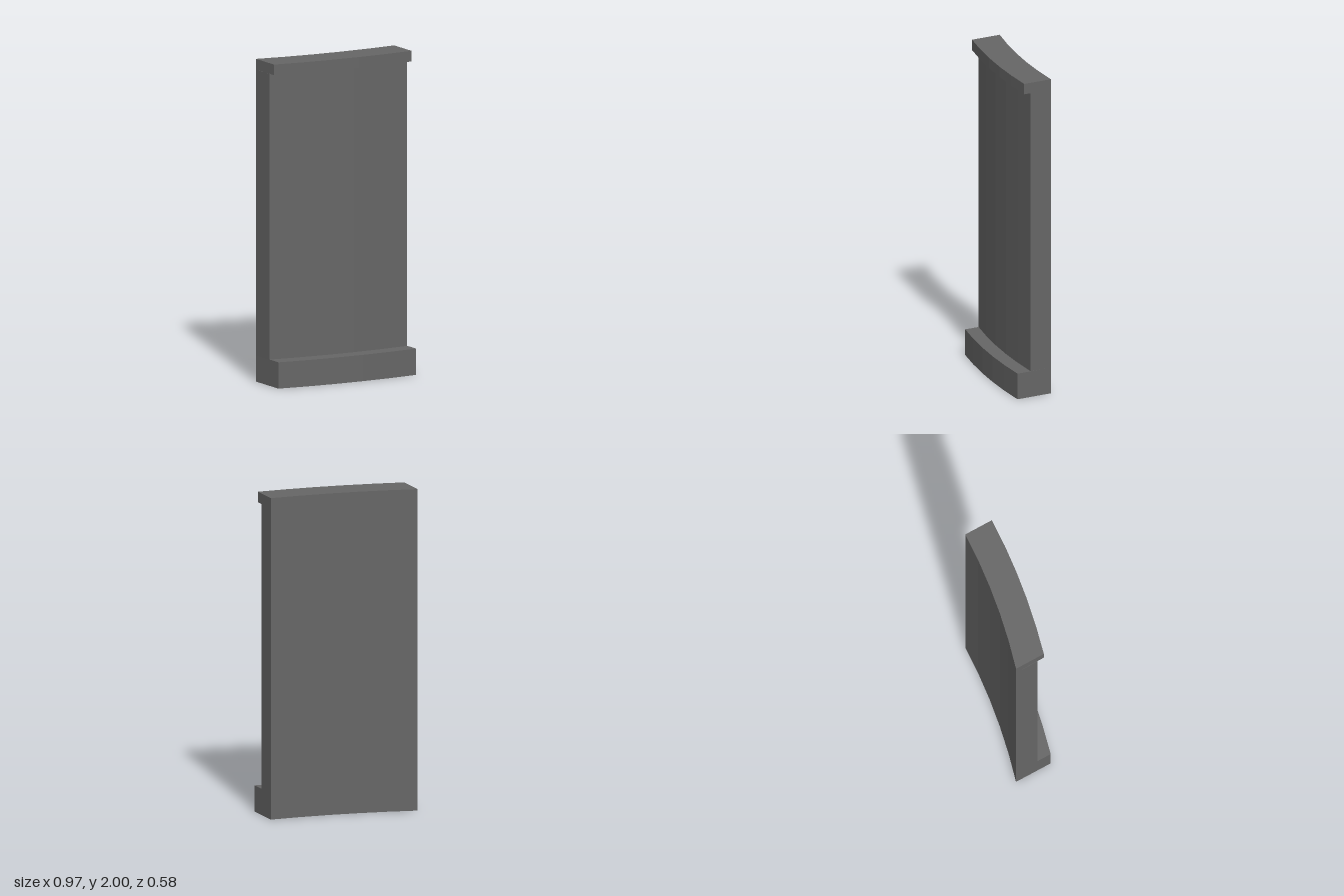
import * as THREE from 'three';

const SEGMENTS = 5;

// Shallow arc in plan, from a to b ([x, z]), bulging toward the front by sag
function arc(a, b, sag) {
  const dx = b[0] - a[0], dz = b[1] - a[1], len = Math.hypot(dx, dz);
  const points = [];
  for (let i = 0; i <= SEGMENTS; i++) {
    const t = i / SEGMENTS, s = 4 * sag * t * (1 - t);
    points.push([a[0] + dx * t - (dz / len) * s, a[1] + dz * t + (dx / len) * s]);
  }
  return points;
}

export function createModel() {
  const group = new THREE.Group();
  group.name = 'curvedWallSegment';
  const material = new THREE.MeshStandardMaterial({ color: 0x666666 });
  material.name = 'dark grey';

  // The rear face is shared by all courses
  const back = arc([-0.484, 0.092], [0.35, -0.293], 0.028);

  // One course: the plan between the rear and front arcs, raised from y0 to y1
  function addCourse(name, left, right, y0, y1) {
    const front = arc(left, right, 0.026).reverse();
    const shape = new THREE.Shape([...back, ...front].map(([x, z]) => new THREE.Vector2(x, -z)));
    const geometry = new THREE.ExtrudeGeometry(shape, { depth: y1 - y0, bevelEnabled: false });
    geometry.rotateX(-Math.PI / 2);
    const mesh = new THREE.Mesh(geometry, material);
    mesh.name = name;
    mesh.position.y = y0;
    group.add(mesh);
  }

  addCourse('footing', [-0.346, 0.29], [0.484, -0.103], 0, 0.163);
  addCourse('wallPanel', [-0.402, 0.214], [0.429, -0.177], 0.163, 1.934);
  addCourse('topLip', [-0.373, 0.251], [0.456, -0.141], 1.934, 2);

  return group;
}
